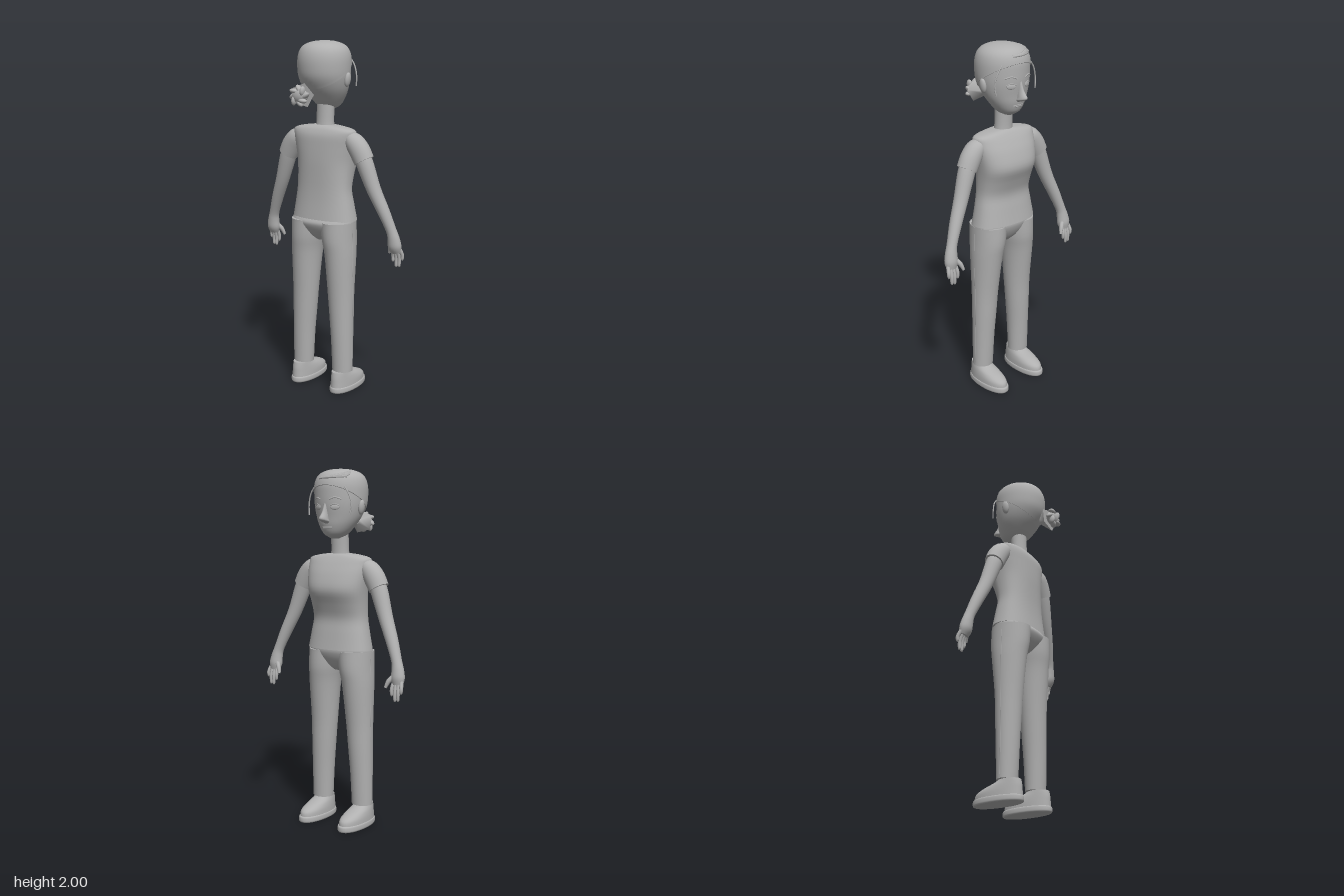
import * as THREE from 'three';

const grey = new THREE.MeshStandardMaterial({ color: 0xb0b0b0, side: THREE.DoubleSide });
grey.name = 'plain grey';

// Smooth value of a table of rows at t in 0..1
function sample(rows, t) {
  const f = t * (rows.length - 1), i = Math.min(Math.floor(f), rows.length - 2), u = f - i;
  const at = k => rows[Math.max(0, Math.min(rows.length - 1, k))];
  return rows[0].map((_, c) => {
    const [a, b, d, e] = [at(i - 1)[c], at(i)[c], at(i + 1)[c], at(i + 2)[c]];
    return b + 0.5 * u * (d - a + u * (2 * a - 5 * b + 4 * d - e + u * (3 * (b - d) + e - a)));
  });
}

// Indexed grid surface, closed around the ring direction, with both ends capped
function gridSurface(rings) {
  const n = rings[0].length, pos = rings.flat().flatMap(p => [p.x, p.y, p.z]), index = [];
  for (let i = 0; i < rings.length - 1; i++)
    for (let j = 0; j < n; j++) {
      const k = (j + 1) % n, a = i * n + j, b = a + n, c = i * n + k, d = c + n;
      index.push(a, b, c, b, d, c);
    }
  [rings[0], rings[rings.length - 1]].forEach((ring, e) => {
    const base = pos.length / 3, mid = new THREE.Vector3();
    ring.forEach(p => { pos.push(p.x, p.y, p.z); mid.addScaledVector(p, 1 / n); });
    pos.push(mid.x, mid.y, mid.z);
    for (let j = 0; j < n; j++) {
      const k = base + (j + 1) % n;
      index.push(base + n, ...(e ? [k, base + j] : [base + j, k]));
    }
  });
  const g = new THREE.BufferGeometry();
  g.setAttribute('position', new THREE.Float32BufferAttribute(pos, 3));
  g.setIndex(index);
  g.computeVertexNormals();
  return g;
}

// Skin over sections [x, y, z, radiusX, radiusZ]; follow tilts rings along the path
function loft(rows, { n = 28, steps = 4, power = 2, follow = false } = {}) {
  const count = (rows.length - 1) * steps, rings = [];
  const bend = v => Math.sign(v) * Math.abs(v) ** (2 / power);
  for (let i = 0; i <= count; i++) {
    const s = sample(rows, i / count), c = new THREE.Vector3(...s.slice(0, 3));
    let U = new THREE.Vector3(1, 0, 0), V = new THREE.Vector3(0, 0, 1);
    if (follow) {
      const p = sample(rows, Math.max(0, i / count - 0.02)), q = sample(rows, Math.min(1, i / count + 0.02));
      const T = new THREE.Vector3(q[0] - p[0], q[1] - p[1], q[2] - p[2]).normalize();
      U = new THREE.Vector3().crossVectors(T, V).normalize();
      V = new THREE.Vector3().crossVectors(U, T);
    }
    rings.push(Array.from({ length: n }, (_, j) => {
      const a = j / n * Math.PI * 2;
      return c.clone().addScaledVector(U, bend(Math.cos(a)) * s[3]).addScaledVector(V, bend(Math.sin(a)) * s[4]);
    }));
  }
  return gridSurface(rings);
}

// Head sections: height, centre z, half width, half depth
const headRows = [
  [1.622, -0.08, 0.025, 0.03], [1.645, -0.078, 0.065, 0.068], [1.69, -0.066, 0.1, 0.098], [1.74, -0.05, 0.126, 0.121],
  [1.8, -0.038, 0.142, 0.142], [1.86, -0.034, 0.146, 0.148], [1.91, -0.034, 0.143, 0.146], [1.95, -0.034, 0.129, 0.132],
  [1.976, -0.034, 0.1, 0.105], [1.991, -0.034, 0.055, 0.06], [1.996, -0.034, 0.01, 0.01]];
function headPoint(y, a, lift = 0) {
  let lo = 0, hi = 1;
  for (let i = 0; i < 24; i++) { const m = (lo + hi) / 2; if (sample(headRows, m)[0] < y) lo = m; else hi = m; }
  const [, z, rx, rz] = sample(headRows, lo);
  return new THREE.Vector3(Math.cos(a) * (rx + lift), y, z + Math.sin(a) * (rz + lift));
}
// Point on the face (facing -z) at a sideways angle from the centre line
const facePoint = (angle, y, lift) => headPoint(y, angle - Math.PI / 2, lift);

export function createModel() {
  const model = new THREE.Group();
  const add = (name, geometry) => {
    const m = new THREE.Mesh(geometry, grey);
    m.name = name;
    model.add(m);
    return m;
  };
  const tube = (name, pts, r) => add(name, new THREE.TubeGeometry(new THREE.CatmullRomCurve3(pts), 14, r, 6));
  const ball = (name, p, sx, sy, sz) => {
    const m = add(name, new THREE.SphereGeometry(1, 18, 12));
    m.position.set(...p);
    m.scale.set(sx, sy, sz);
    return m;
  };

  // Shirt, trousers seat and neck
  add('shirt', loft([
    [0, 1.008, -0.04, 0.201, 0.112], [0, 1.1, -0.038, 0.184, 0.1], [0, 1.18, -0.036, 0.171, 0.093],
    [0, 1.26, -0.048, 0.172, 0.104], [0, 1.34, -0.062, 0.18, 0.118], [0, 1.42, -0.054, 0.192, 0.107],
    [0, 1.48, -0.042, 0.2, 0.09], [0, 1.515, -0.038, 0.195, 0.072], [0, 1.532, -0.038, 0.13, 0.058],
    [0, 1.54, -0.038, 0.06, 0.046]], { n: 40, power: 2.4 }));
  add('trouserSeat', loft([
    [0, 0.886, -0.03, 0.03, 0.045], [0, 0.915, -0.03, 0.09, 0.075], [0, 0.955, -0.029, 0.17, 0.1],
    [0, 0.99, -0.029, 0.196, 0.113], [0, 1.012, -0.034, 0.196, 0.109]], { n: 36, power: 2.3 }));
  add('neck', loft([[0, 1.51, -0.04, 0.058, 0.05], [0, 1.56, -0.042, 0.052, 0.045], [0, 1.67, -0.046, 0.052, 0.045]]));

  // Head and hair cap, its edge rising toward the forehead
  add('head', loft(headRows.map(([y, z, rx, rz]) => [0, y, z, rx, rz]), { n: 36 }));
  const cap = [];
  for (let i = 0; i <= 22; i++)
    cap.push(Array.from({ length: 40 }, (_, j) => {
      const a = j / 40 * Math.PI * 2, base = 1.825 - 0.085 * Math.sin(a), t = 1 - (1 - i / 22) ** 1.6;
      const p = headPoint(base + (1.9955 - base) * t, a, 0.004);
      p.y += 0.004 * t;
      return p;
    }));
  add('hairCap', gridSurface(cap));

  // Nose and mouth
  add('nose', loft([
    [0, 1.703, -0.156, 0.012, 0.012], [0, 1.715, -0.175, 0.022, 0.03], [0, 1.73, -0.188, 0.02, 0.037],
    [0, 1.765, -0.174, 0.013, 0.026], [0, 1.815, -0.168, 0.009, 0.012]], { n: 16 }));
  [1.677, 1.684].forEach(y => tube('lip', [-0.35, -0.17, 0, 0.17, 0.35].map(a => facePoint(a, y, -0.001)), 0.004));

  // Fringe strands fanning over the crown to one side
  for (let i = 0; i < 6; i++) {
    const end = 1.982 - i * 0.006;
    const pts = [0, 0.33, 0.66, 1].map(t => facePoint(0.35 - t * (1.6 - i * 0.07), 1.945 + t * (end - 1.945), 0.005));
    tube('fringeStrand', pts, 0.006);
  }

  // Bun at the back with its gathered tail
  const tail = add('hairTail', new THREE.CylinderGeometry(0.02, 0.078, 0.055, 5));
  tail.rotation.set(-Math.PI / 2, 0.2, 0);
  tail.scale.z = 0.85;
  tail.position.set(0, 1.713, 0.14);
  ball('bunCore', [0, 1.712, 0.192], 0.05, 0.042, 0.03);
  for (let i = 0; i < 8; i++) {
    const a = i / 8 * Math.PI * 2;
    const curl = ball('bunCurl', [Math.cos(a) * 0.04, 1.712 + Math.sin(a) * 0.036, 0.195 + (i % 2) * 0.01], 0.027, 0.013, 0.019);
    curl.rotation.z = a + 0.7;
  }

  // Everything that comes in pairs
  for (const s of [-1, 1]) {
    const side = rows => rows.map(([x, ...r]) => [x * s, ...r]);
    const limb = (name, rows, n = 20) => add(name, loft(side(rows), { n, follow: true }));

    // Ear, eye, eyebrow and loose lock
    ball('ear', [s * 0.147, 1.79, -0.045], 0.015, 0.04, 0.022).rotation.z = -s * 0.15;
    const eye = facePoint(s * 0.42, 1.79, -0.002);
    ball('eye', eye.toArray(), 0.026, 0.015, 0.005).rotation.y = -s * 0.42;
    tube('eyelid', [0.22, 0.42, 0.62].map((a, i) => facePoint(s * a, i === 1 ? 1.807 : 1.797, 0.001)), 0.003);
    tube('eyebrow', [0.2, 0.42, 0.68].map((a, i) => facePoint(s * a, 1.832 + (i === 1 ? 0.01 : 0), 0)), 0.004);
    tube('looseLock', [[0.085, 1.92, -0.14], [0.125, 1.87, -0.14], [0.145, 1.81, -0.135], [0.14, 1.75, -0.14]]
      .map(([x, y, z]) => new THREE.Vector3(s * x, y, z)), 0.004);

    // Sleeve, arm
    limb('sleeve', [
      [0.165, 1.485, -0.038, 0.03, 0.04], [0.195, 1.458, -0.038, 0.052, 0.054], [0.232, 1.41, -0.04, 0.06, 0.056],
      [0.262, 1.355, -0.042, 0.058, 0.054]], 24);
    limb('arm', [
      [0.24, 1.4, -0.041, 0.046, 0.046], [0.27, 1.33, -0.044, 0.048, 0.046], [0.318, 1.2, -0.056, 0.04, 0.04],
      [0.372, 1.08, -0.074, 0.034, 0.035], [0.412, 0.98, -0.09, 0.029, 0.029], [0.425, 0.93, -0.097, 0.035, 0.031],
      [0.43, 0.885, -0.103, 0.04, 0.032], [0.433, 0.85, -0.11, 0.03, 0.02]]);

    // Thumb and four fingers
    limb('thumb', [[0.412, 0.9, -0.11, 0.014, 0.014], [0.388, 0.87, -0.128, 0.013, 0.013], [0.374, 0.835, -0.138, 0.008, 0.008]], 10);
    [0.412, 0.428, 0.443, 0.458].forEach((x, i) => {
      const tip = [0.79, 0.762, 0.765, 0.805][i], out = (x - 0.43) * 0.3;
      limb('finger', [
        [x, 0.87, -0.11, 0.011, 0.012], [x + out, (0.87 + tip) / 2, -0.125, 0.01, 0.011],
        [x + out, tip + 0.01, -0.126, 0.008, 0.009], [x + out, tip, -0.125, 0.003, 0.003]], 10);
    });

    // Trouser leg with side seam, and ankle
    add('trouserLeg', loft(side([
      [0.14, 0.12, -0.021, 0.061, 0.056], [0.136, 0.3, -0.022, 0.065, 0.063], [0.13, 0.45, -0.024, 0.071, 0.07],
      [0.124, 0.6, -0.025, 0.077, 0.078], [0.117, 0.8, -0.029, 0.086, 0.099], [0.107, 0.9, -0.03, 0.093, 0.113],
      [0.1, 1, -0.029, 0.098, 0.115]])));
    tube('sideSeam', [[0.2, 0.14], [0.2, 0.3], [0.2, 0.6], [0.202, 0.8], [0.198, 0.96]]
      .map(([x, y]) => new THREE.Vector3(s * x, y, -0.027)), 0.002);
    add('ankle', loft(side([[0.14, 0.08, -0.018, 0.043, 0.045], [0.14, 0.14, -0.02, 0.043, 0.045]])));

    // Shoe with a wider sole
    add('sole', loft(side([
      [0.14, 0, -0.075, 0.064, 0.146], [0.14, 0.008, -0.075, 0.068, 0.151], [0.14, 0.028, -0.075, 0.067, 0.15],
      [0.14, 0.034, -0.075, 0.062, 0.143]]), { n: 32, power: 2.15 }));
    add('shoeUpper', loft(side([
      [0.14, 0.03, -0.073, 0.063, 0.143], [0.14, 0.06, -0.07, 0.061, 0.138], [0.14, 0.085, -0.048, 0.056, 0.114],
      [0.14, 0.105, -0.02, 0.05, 0.082], [0.14, 0.12, -0.006, 0.046, 0.064]]), { n: 32, power: 2.15 }));
  }
  return model;
}
